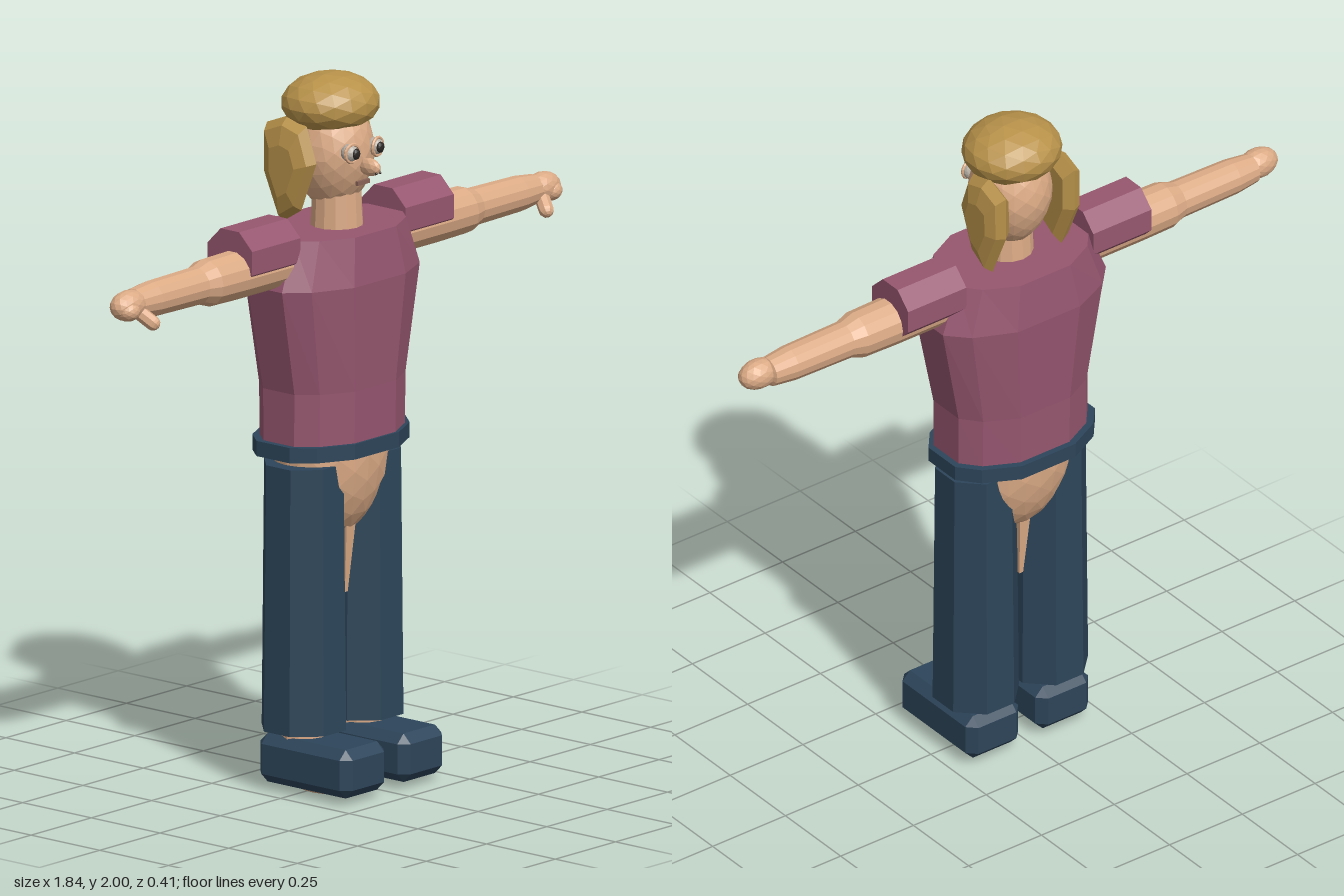
import * as THREE from 'three';
import { ConvexGeometry } from 'three/addons/geometries/ConvexGeometry.js';

const paint = (name, color) => {
  const m = new THREE.MeshStandardMaterial({ color, flatShading: true });
  m.name = name;
  return m;
};

// Closed solid through stacked horizontal rings: each ring is [y, halfWidth, halfDepth]
function loft(profile, rings, zc) {
  const n = profile.length, pos = [], idx = [];
  for (const [y, w, d] of rings) for (const [px, pz] of profile) pos.push(px * w, y, zc + pz * d);
  const top = rings.length - 1;
  for (let r = 0; r < top; r++) for (let j = 0; j < n; j++) {
    const a = r * n + j, b = r * n + (j + 1) % n;
    idx.push(a, a + n, b + n, a, b + n, b);
  }
  for (let j = 1; j < n - 1; j++) {
    idx.push(0, j, j + 1);
    idx.push(top * n, top * n + j + 1, top * n + j);
  }
  const g = new THREE.BufferGeometry();
  g.setAttribute('position', new THREE.Float32BufferAttribute(pos, 3));
  g.setIndex(idx);
  const flat = g.toNonIndexed();
  flat.computeVertexNormals();
  return flat;
}

// Box with all its edges chamfered
function chamferBox(w, h, d, c) {
  const pts = [];
  for (const x of [-1, 1]) for (const y of [-1, 1]) for (const z of [-1, 1]) {
    const X = x * w / 2, Y = y * h / 2, Z = z * d / 2;
    pts.push(new THREE.Vector3(X, Y - y * c, Z - z * c),
      new THREE.Vector3(X - x * c, Y, Z - z * c),
      new THREE.Vector3(X - x * c, Y - y * c, Z));
  }
  return new ConvexGeometry(pts);
}

export function createModel() {
  const model = new THREE.Group();
  const skin = paint('skin', 0xdcab86), hair = paint('hair', 0xb8924a);
  const shirt = paint('shirt', 0x96566f), navy = paint('navy', 0x2d455a);
  const eyeGrey = paint('eyeGrey', 0xb9b2a8), dark = paint('dark', 0x2a2624);
  const mouthTone = paint('mouth', 0x8a6457);

  const add = (name, geo, mat, x = 0, y = 0, z = 0) => {
    const m = new THREE.Mesh(geo, mat);
    m.name = name;
    m.position.set(x, y, z);
    model.add(m);
    return m;
  };
  const blob = (name, mat, [x, y, z], [rx, ry, rz], detail = 2) =>
    add(name, new THREE.IcosahedronGeometry(1, detail).scale(rx, ry, rz), mat, x, y, z);

  // Torso and belt share a twelve-sided outline
  const outline = [[1, 0.36], [0.8, 0.7], [0.38, 1], [-0.38, 1], [-0.8, 0.7], [-1, 0.36],
    [-1, -0.36], [-0.8, -0.7], [-0.38, -1], [0.38, -1], [0.8, -0.7], [1, -0.36]];
  add('shirtBody', loft(outline, [[0.985, 0.222, 0.155], [1.14, 0.222, 0.158],
    [1.44, 0.28, 0.174], [1.575, 0.225, 0.158]], -0.031), shirt);
  add('belt', loft(outline, [[0.95, 0.24, 0.168], [0.993, 0.24, 0.168]], -0.036), navy);

  // Hips and the narrow strip between the legs
  blob('hips', skin, [0, 0.94, -0.035], [0.19, 0.25, 0.138], 3);
  add('innerThigh', loft([[1, 1], [-1, 1], [-1, -1], [1, -1]],
    [[0.54, 0.006, 0.05], [0.76, 0.02, 0.07]], -0.03), skin);

  // Neck and head
  add('neck', new THREE.CylinderGeometry(0.068, 0.075, 0.14, 14), skin, 0, 1.61, -0.015);
  const head = new THREE.IcosahedronGeometry(1, 3);
  const p = head.attributes.position;
  for (let i = 0; i < p.count; i++) {
    const y = p.getY(i), taper = y < 0 ? 1 + 0.12 * y : 1;
    p.setXYZ(i, p.getX(i) * 0.116 * taper, y * 0.16, p.getZ(i) * 0.118 * taper);
  }
  head.computeVertexNormals();
  add('head', head, skin, 0, 1.775, -0.03);

  // Hair cap, flattened underneath
  const cap = new THREE.IcosahedronGeometry(1, 2);
  const c = cap.attributes.position;
  for (let i = 0; i < c.count; i++) {
    const y = c.getY(i);
    c.setXYZ(i, c.getX(i) * 0.142, Math.max(y * 0.085, -0.055), c.getZ(i) * 0.133);
  }
  cap.computeVertexNormals();
  add('hairCap', cap, hair, 0, 1.915, -0.037);

  // Nose and mouth
  blob('nose', skin, [0, 1.755, 0.105], [0.018, 0.026, 0.038], 1);
  for (const s of [-1, 1]) blob('nostril', dark, [s * 0.008, 1.742, 0.136], [0.004, 0.004, 0.004], 0);
  add('mouth', new THREE.BoxGeometry(0.05, 0.012, 0.009), mouthTone, 0, 1.708, 0.08);

  // Side lock outline as [z, y]
  const lock = [[-0.02, 1.87], [-0.09, 1.89], [-0.165, 1.86], [-0.166, 1.73],
    [-0.105, 1.59], [-0.04, 1.63], [0.015, 1.77]];

  for (const s of [-1, 1]) {
    // Eyes
    const lid = add('eyeRim', new THREE.TorusGeometry(0.025, 0.005, 6, 16), skin, s * 0.052, 1.8, 0.088);
    lid.rotation.y = s * 0.15;
    blob('eyeball', eyeGrey, [s * 0.052, 1.8, 0.078], [0.025, 0.025, 0.025]);
    blob('pupil', dark, [s * 0.05, 1.8, 0.1], [0.014, 0.016, 0.009], 1);

    // Hair locks over the ears
    const pts = [];
    for (const [x, k] of [[0.092, 0.75], [0.118, 1], [0.145, 0.85], [0.16, 0.5]])
      for (const [z, y] of lock)
        pts.push(new THREE.Vector3(s * x, 1.74 + (y - 1.74) * k, -0.08 + (z + 0.08) * k));
    add('hairLock', new ConvexGeometry(pts), hair);

    // Arm, turned about the x axis
    const armProfile = [[0, 0.18], [0.068, 0.2], [0.068, 0.42], [0.066, 0.53], [0.053, 0.57],
      [0.05, 0.76], [0.042, 0.83], [0, 0.85]].map(([r, y]) => new THREE.Vector2(r, y));
    const arm = add('arm', new THREE.LatheGeometry(armProfile, 14), skin, 0, 1.508, -0.027);
    arm.rotation.z = -s * Math.PI / 2;

    // Hand with thumb
    blob('hand', skin, [s * 0.858, 1.51, -0.02], [0.062, 0.043, 0.042]);
    blob('knuckles', skin, [s * 0.875, 1.5, -0.008], [0.035, 0.03, 0.036]);
    const thumb = add('thumb', new THREE.CapsuleGeometry(0.021, 0.045, 4, 8), skin, s * 0.825, 1.474, 0.016);
    thumb.quaternion.setFromUnitVectors(new THREE.Vector3(0, 1, 0),
      new THREE.Vector3(-s * 0.4, -0.6, 0.7).normalize());

    // Eight-sided sleeve
    const sleeve = new THREE.CylinderGeometry(0.088, 0.088, 0.2, 8).rotateY(Math.PI / 8).rotateZ(Math.PI / 2);
    add('sleeve', sleeve, shirt, s * 0.318, 1.552, -0.037);

    // Trouser leg, ankle and shoe
    const leg = new THREE.CylinderGeometry(0.115, 0.122, 0.752, 8).rotateY(Math.PI / 8);
    add('trouserLeg', leg, navy, s * 0.119, 0.549, -0.03);
    add('ankle', new THREE.CylinderGeometry(0.07, 0.07, 0.08, 12), skin, s * 0.12, 0.165, -0.03);
    add('shoe', chamferBox(0.182, 0.137, 0.336, 0.026), navy, s * 0.12, 0.087, 0.038);
    blob('sole', skin, [s * 0.12, 0.03, 0.035], [0.065, 0.03, 0.1]);
  }
  return model;
}
